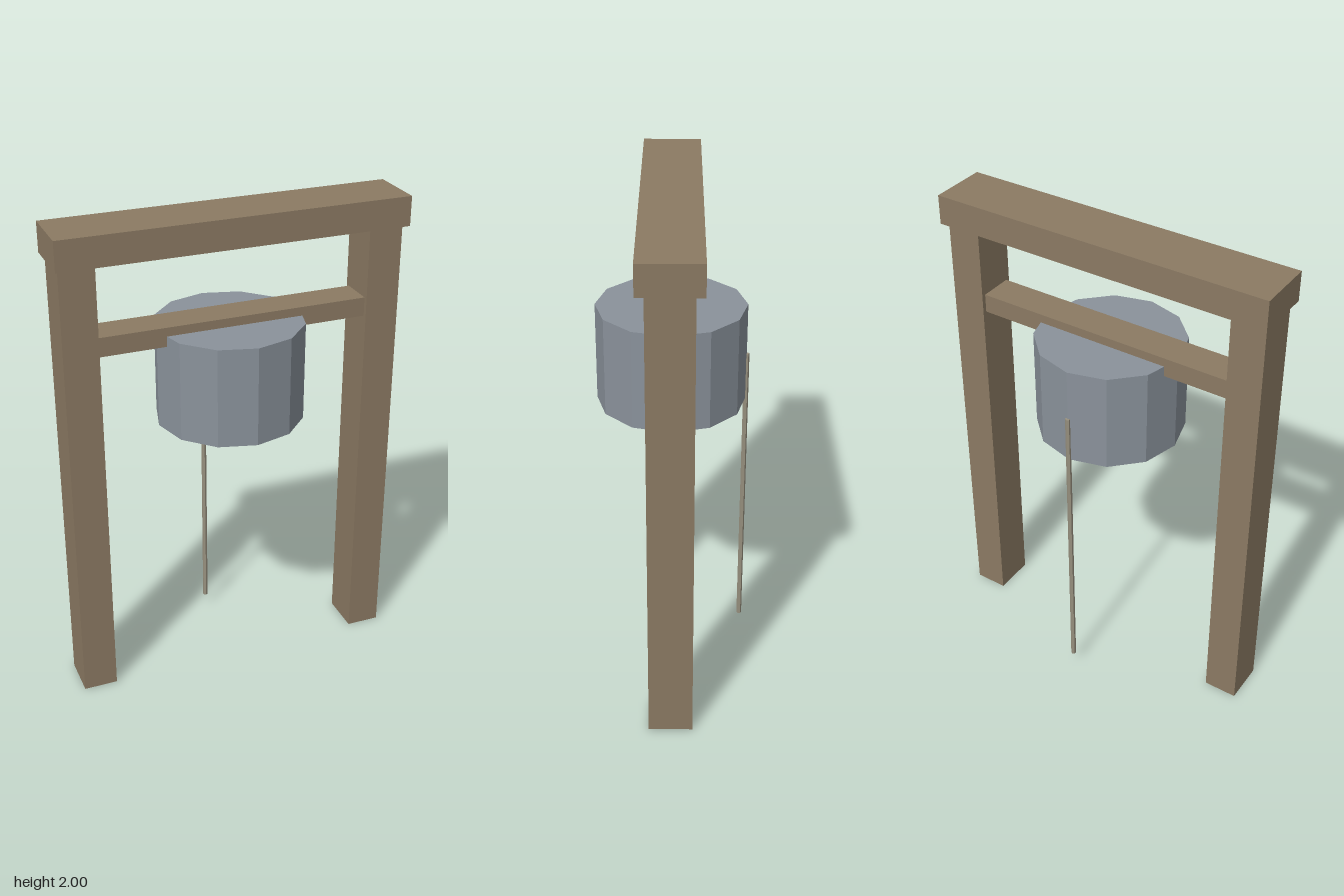
import * as THREE from 'three';

export function createModel() {
  const model = new THREE.Group();
  model.name = 'hangingDrumFrame';

  const material = (name, color) => {
    const m = new THREE.MeshStandardMaterial({ color, flatShading: true });
    m.name = name;
    return m;
  };
  const wood = material('weatheredWood', 0x8b7a63);
  const metal = material('greyMetal', 0x8a929b);
  const hemp = material('ropeHemp', 0x98917f);

  const add = (name, geometry, mat, x, y, z) => {
    const mesh = new THREE.Mesh(geometry, mat);
    mesh.name = name;
    mesh.position.set(x, y, z);
    model.add(mesh);
  };
  // Parts spanning bottom to top heights
  const beam = (name, width, bottom, top, depth, x = 0) =>
    add(name, new THREE.BoxGeometry(width, top - bottom, depth), wood, x, (bottom + top) / 2, 0.005);
  const prism = (name, radius, bottom, top, sides, mat, z) =>
    add(name, new THREE.CylinderGeometry(radius, radius, top - bottom, sides), mat, 0, (bottom + top) / 2, z);

  // Timber frame
  for (const side of [-1, 1]) {
    beam(side > 0 ? 'leftPost' : 'rightPost', 0.14, 0, 1.88, 0.175, side * 0.622);
  }
  beam('topBeam', 1.414, 1.88, 2, 0.24);
  beam('crossBar', 1.12, 1.51, 1.588, 0.14);

  // Drum with a hub beneath and a rope hanging at the back
  prism('drum', 0.3, 1.145, 1.552, 12, metal, 0.005);
  prism('hub', 0.088, 1.045, 1.145, 8, metal, 0.005);
  prism('rope', 0.0105, 0.06, 1.34, 6, hemp, -0.295);

  return model;
}
